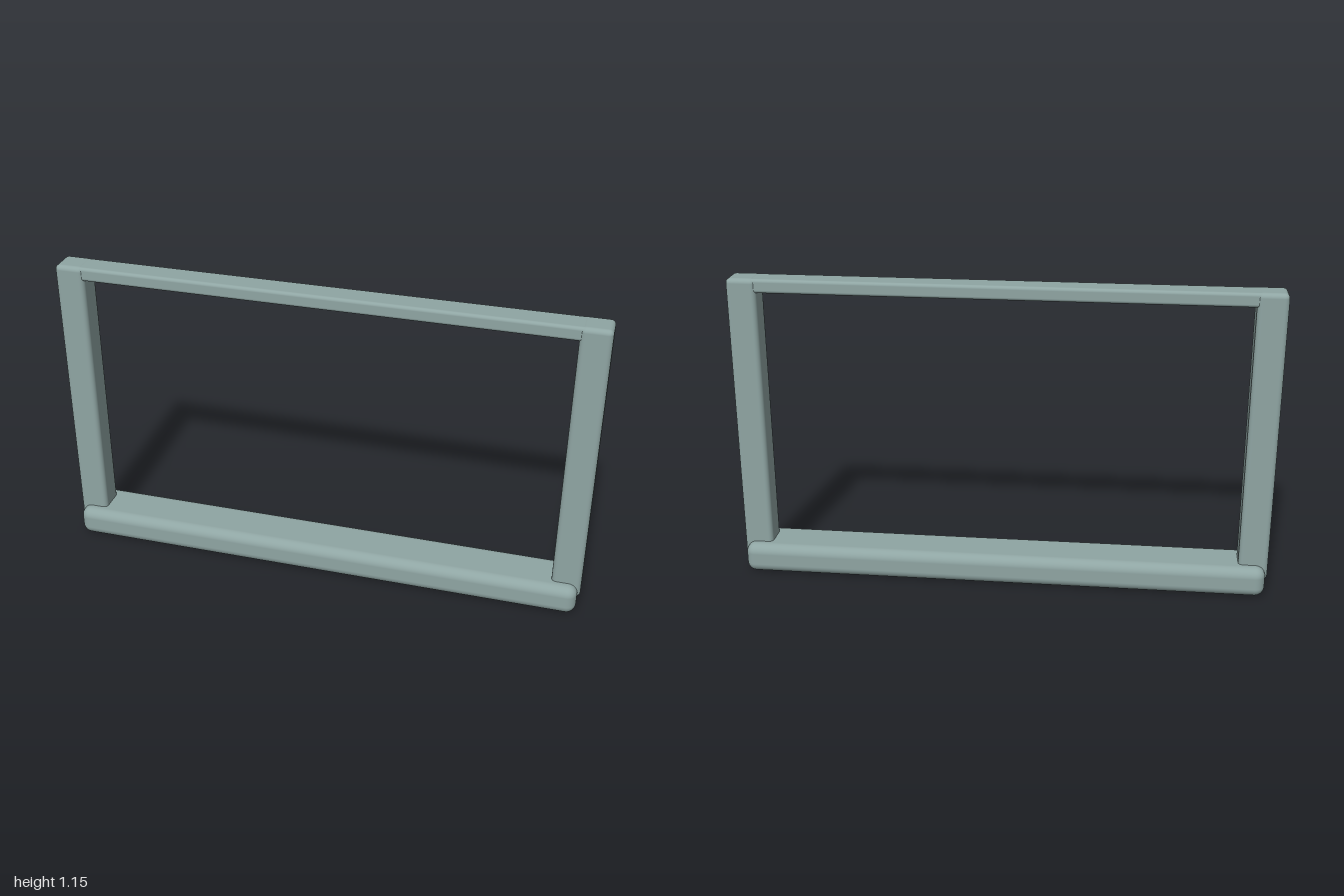
import * as THREE from 'three';
import { RoundedBoxGeometry } from 'three/addons/geometries/RoundedBoxGeometry.js';

export function createModel() {
  const group = new THREE.Group();
  const greyGreen = new THREE.MeshStandardMaterial({ color: 0x8fa5a3 });
  greyGreen.name = 'greyGreen';

  // Softly rounded bar given by its size, centre and edge radius
  function bar(name, size, centre, radius) {
    const mesh = new THREE.Mesh(new RoundedBoxGeometry(...size, 5, radius), greyGreen);
    mesh.name = name;
    mesh.position.set(...centre);
    group.add(mesh);
  }

  // Wide bottom sill
  bar('sill', [1.98, 0.115, 0.2], [0, 0.0575, 0], 0.037);

  // Side posts, sunk into the sill and standing just proud of its ends
  for (const [name, side] of [['leftPost', 1], ['rightPost', -1]]) {
    bar(name, [0.11, 1.1, 0.108], [side * 0.945, 0.605, 0], 0.018);
  }

  // Thin top rail joining the posts
  bar('topRail', [1.97, 0.052, 0.1], [0, 1.128, 0], 0.012);

  return group;
}
